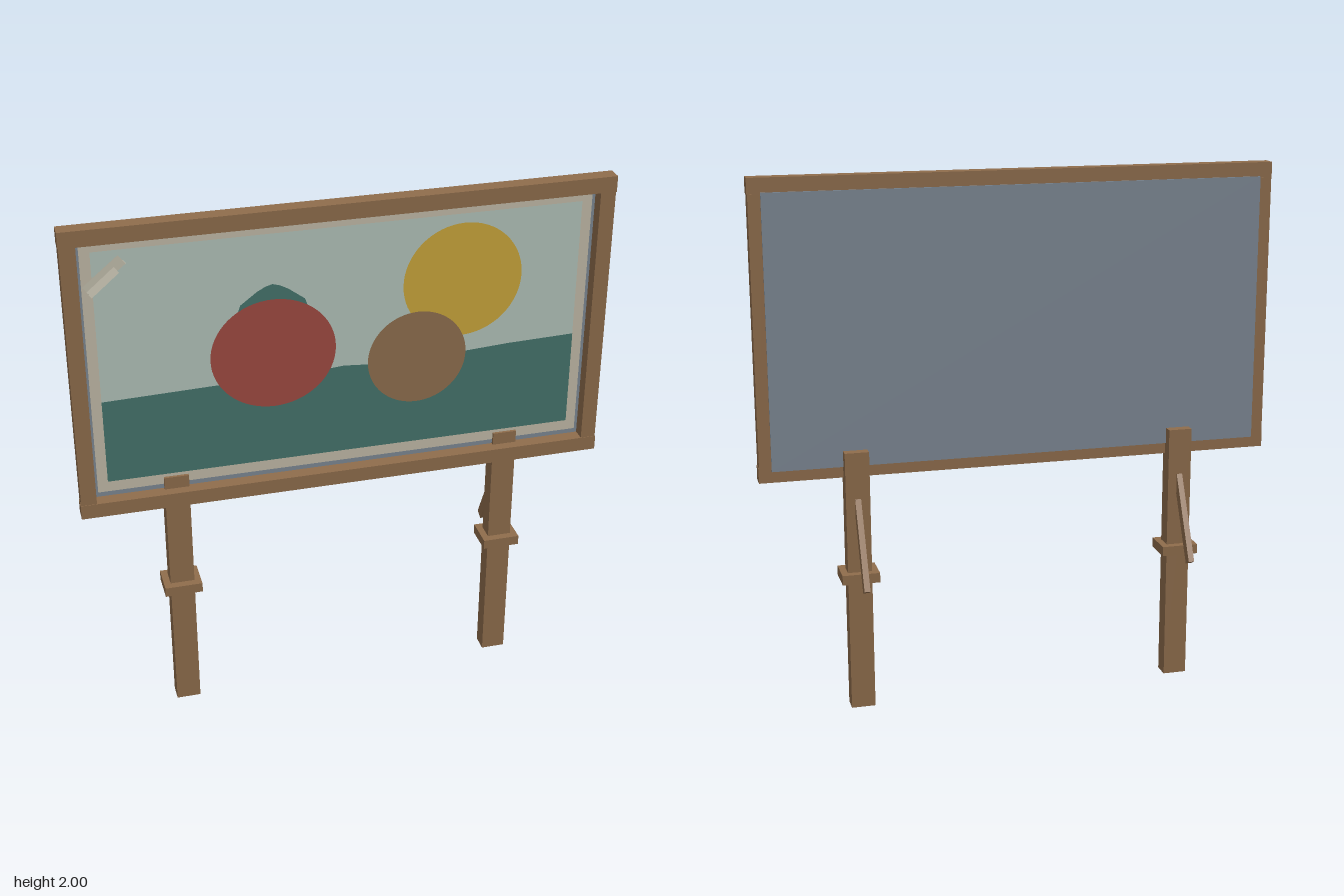
import * as THREE from 'three';

const mat = (name, color, side = THREE.FrontSide) => {
  const m = new THREE.MeshStandardMaterial({ color, side });
  m.name = name;
  return m;
};

export function createModel() {
  const root = new THREE.Group();
  root.name = 'billboard';

  const wood = mat('wood', 0x8f6d4c);
  const steel = mat('panelGrey', 0x7d8894);
  const paper = mat('paperBeige', 0xc2bba8);
  const sky = mat('paleGreen', 0xb3c4bb);
  const teal = mat('teal', 0x45746c);
  const red = mat('red', 0x9f4a42);
  const yellow = mat('yellow', 0xcaa63b);
  const brown = mat('brown', 0x8f6f4e);
  const tape = mat('tape', 0xc4bfae, THREE.DoubleSide);

  const add = (parent, name, geometry, material, x = 0, y = 0, z = 0) => {
    const mesh = new THREE.Mesh(geometry, material);
    mesh.name = name;
    mesh.position.set(x, y, z);
    parent.add(mesh);
    return mesh;
  };
  // box given by its lower and upper corners
  const block = (parent, name, material, [x0, y0, z0], [x1, y1, z1]) =>
    add(parent, name, new THREE.BoxGeometry(x1 - x0, y1 - y0, z1 - z0), material,
      (x0 + x1) / 2, (y0 + y1) / 2, (z0 + z1) / 2);

  // frame rails
  const frame = new THREE.Group();
  frame.name = 'frame';
  root.add(frame);
  block(frame, 'topRail', wood, [-0.977, 1.942, 0.06], [0.977, 2, 0.117]);
  block(frame, 'bottomRail', wood, [-0.977, 0.898, 0.06], [0.977, 0.953, 0.117]);
  for (const s of [-1, 1]) {
    const rail = block(frame, s < 0 ? 'rightRail' : 'leftRail', wood,
      [-0.028, 0.953, 0.058], [0.028, 1.942, 0.115]);
    rail.position.x = s * 0.947;
  }

  // backing panel and its poster
  block(root, 'panel', steel, [-0.93, 0.94, 0.053], [0.93, 1.948, 0.067]);
  const poster = new THREE.Group();
  poster.name = 'poster';
  root.add(poster);
  block(poster, 'sheet', paper, [-0.907, 0.972, 0.066], [0.907, 1.93, 0.07]);
  const layer = (name, shape, material, n) =>
    add(poster, name, new THREE.ShapeGeometry(shape, 32), material, 0, 0, 0.07 + n * 0.001);
  const polygon = pts => new THREE.Shape(pts.map(p => new THREE.Vector2(...p)));
  const oval = (x, y, rx, ry) => new THREE.Shape().absellipse(x, y, rx, ry, 0, Math.PI * 2);

  layer('sky', polygon([[-0.87, 1.013], [0.87, 1.013], [0.87, 1.9], [-0.87, 1.9]]), sky, 1);
  layer('ground', polygon([[-0.87, 1.013], [0.87, 1.013], [0.87, 1.38], [0.62, 1.373],
    [0.4, 1.36], [0.1, 1.355], [0, 1.363], [-0.1, 1.355], [-0.5, 1.345], [-0.87, 1.335]]), teal, 2);
  layer('hill', polygon([[-0.42, 1.5], [-0.09, 1.5], [-0.14, 1.645], [-0.2, 1.69],
    [-0.23, 1.706], [-0.255, 1.713], [-0.28, 1.706], [-0.31, 1.69], [-0.37, 1.645]]), teal, 2);
  layer('yellowDisc', oval(0.436, 1.648, 0.22, 0.218), yellow, 3);
  layer('redDisc', oval(-0.256, 1.446, 0.226, 0.21), red, 4);
  layer('brownDisc', oval(0.272, 1.363, 0.184, 0.181), brown, 5);

  // peeling tape: a flat strip and a lifted strip, each between two end points
  const strip = (name, a, b, width) => {
    const A = new THREE.Vector3(...a), B = new THREE.Vector3(...b);
    const along = B.clone().sub(A);
    const mesh = add(poster, name, new THREE.BoxGeometry(along.length(), width, 0.003), tape);
    const u = along.normalize();
    const v = new THREE.Vector3(-u.y, u.x, 0).normalize();
    const w = u.clone().cross(v);
    mesh.quaternion.setFromRotationMatrix(new THREE.Matrix4().makeBasis(u, v, w));
    mesh.position.copy(A).add(B).multiplyScalar(0.5);
  };
  strip('flatTape', [-0.892, 1.764, 0.078], [-0.766, 1.867, 0.078], 0.04);
  strip('liftedTape', [-0.889, 1.776, 0.136], [-0.79, 1.846, 0.11], 0.028);

  // posts with collar and rear brace
  for (const s of [-1, 1]) {
    const support = new THREE.Group();
    support.name = s < 0 ? 'rightSupport' : 'leftSupport';
    support.position.x = s * 0.624;
    root.add(support);
    block(support, 'post', wood, [-0.045, 0, 0.016], [0.045, 1, 0.08]);
    block(support, 'collar', wood, [-0.07, 0.504, -0.012], [0.07, 0.541, 0.109]);
    const brace = add(support, 'brace', new THREE.BoxGeometry(0.022, 0.38, 0.036), wood,
      0, 0.68, -0.037);
    brace.rotation.x = 0.47;
  }
  return root;
}
